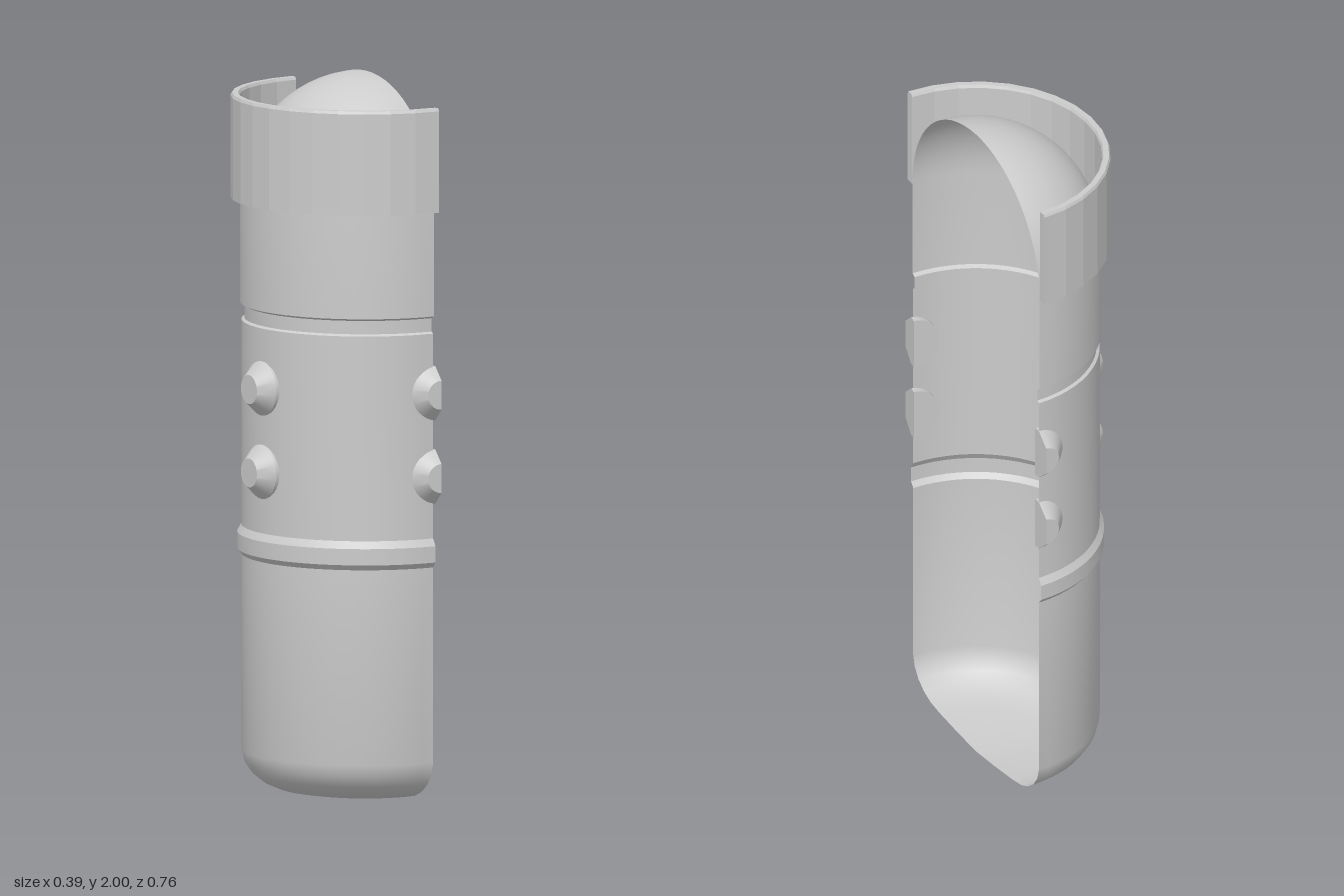
import * as THREE from 'three';
import { toCreasedNormals } from 'three/addons/utils/BufferGeometryUtils.js';

const CUT_X = 0.183; // plane of the open side, also the capsule axis
const material = new THREE.MeshStandardMaterial({ color: 0xcccccc, side: THREE.DoubleSide });
const flatMaterial = material.clone();
flatMaterial.flatShading = true;

const toPoints = (list) => list.map(([r, y]) => new THREE.Vector2(r, y));

// Revolve a profile around y; a half turn keeps the x < 0 side
function revolve(profile, segments, full = false) {
  const geo = new THREE.LatheGeometry(toPoints(profile), segments, Math.PI, full ? Math.PI * 2 : Math.PI);
  return toCreasedNormals(geo, 0.5);
}

function addMesh(parent, name, geometry, mat = material) {
  const mesh = new THREE.Mesh(geometry, mat);
  mesh.name = name;
  parent.add(mesh);
  return mesh;
}

// Blunt stud whose base sits just inside the shell, pointing along +y
const studProfile = [[0, 0], [0.075, 0], [0.075, 0.02], [0.04, 0.06], [0, 0.06]];

function makeStud(half) {
  const stud = new THREE.Group();
  stud.name = half ? 'halfStud' : 'stud';
  addMesh(stud, 'studBody', revolve(studProfile, half ? 16 : 32, !half));
  if (half) {
    const outline = studProfile.slice(1, 4);
    const mirrored = outline.map(([r, y]) => [-r, y]).reverse();
    const face = new THREE.ShapeGeometry(new THREE.Shape(toPoints([...outline, ...mirrored])));
    face.rotateY(Math.PI / 2);
    addMesh(stud, 'studCutFace', face);
  }
  return stud;
}

export function createModel() {
  const model = new THREE.Group();
  model.name = 'halfCapsule';

  const shell = new THREE.Group();
  shell.name = 'shell';
  shell.position.x = CUT_X;
  model.add(shell);

  // Rounded base, belt, groove and straight wall
  const profile = [
    [0, 0.003], [0.1, 0.01], [0.2, 0.02], [0.245, 0.028], [0.28, 0.043],
    [0.31, 0.067], [0.33, 0.097], [0.338, 0.13],
    [0.338, 0.67], [0.35, 0.685], [0.35, 0.73], [0.338, 0.75],
    [0.338, 1.315], [0.33, 1.32], [0.33, 1.357], [0.342, 1.363], [0.342, 1.66],
  ];
  // Domed top
  for (let i = 1; i <= 16; i++) {
    const a = (i / 16) * Math.PI / 2;
    profile.push([0.342 * Math.cos(a), 1.66 + 0.34 * Math.sin(a)]);
  }
  addMesh(shell, 'body', revolve(profile, 32));

  // Faceted collar standing around the dome
  const collarProfile = [
    [0.344, 1.652], [0.368, 1.652], [0.368, 1.932], [0.364, 1.94], [0.348, 1.94], [0.344, 1.932],
  ];
  const collar = new THREE.Group();
  collar.name = 'collar';
  shell.add(collar);
  addMesh(collar, 'collarRing', revolve([...collarProfile, collarProfile[0]], 16), flatMaterial);
  for (const side of [-1, 1]) {
    const cap = addMesh(collar, 'collarEnd', new THREE.ShapeGeometry(new THREE.Shape(toPoints(collarProfile))));
    cap.rotation.y = -side * Math.PI / 2;
  }

  // Two rows of studs: a whole one on the back, cut ones at both edges
  for (const y of [0.92, 1.15]) {
    const back = makeStud(false);
    back.position.set(-0.32, y, 0);
    back.rotation.z = Math.PI / 2;
    shell.add(back);
    for (const side of [-1, 1]) {
      const edge = makeStud(true);
      edge.rotation.x = side * Math.PI / 2;
      const mount = new THREE.Group();
      mount.name = 'edgeStud';
      mount.add(edge);
      mount.position.set(side > 0 ? 0.01 : 0, y, side * 0.318);
      if (side > 0) mount.rotation.y = -0.14;
      shell.add(mount);
    }
  }
  return model;
}
